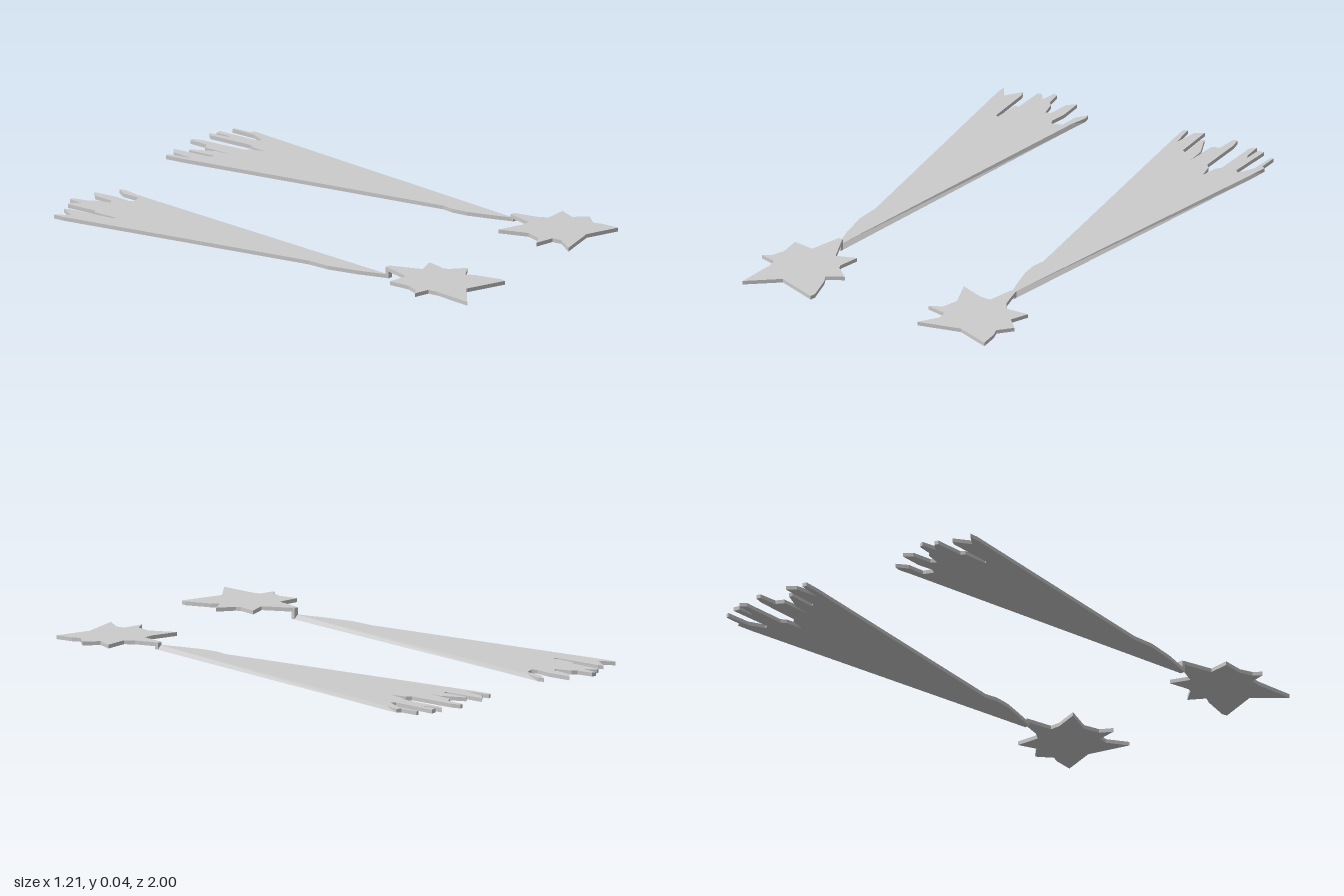
import * as THREE from 'three';

const material = new THREE.MeshStandardMaterial({ color: 0xcccccc, flatShading: true });
const THICK = 0.015;
const NECK_Z = 0.53;

// Outlines as x, z pairs, running from the neck's -x corner to its +x corner.
const leftTail = [
  .368, .53, .342, .44, .32, .355, .315, .29, .326, .238, .32, .196, .178, -.885, .172, -.96,
  .188, -.965, .204, -.864, .22, -.96, .252, -.986, .262, -.82, .278, -.81, .273, -.927, .284, -.933,
  .326, -.843, .331, -.768, .337, -.9, .368, -.917, .374, -.996, .39, -1, .4, -.96, .405, -.768,
  .421, -.753, .437, -.689, .448, -.758, .464, -.779, .464, -.97, .485, -.99, .49, -.917, .5, -.9,
  .501, -.97, .527, -.975, .522, -.79, .538, -.779, .57, -.843, .575, -.949, .586, -.949, .587, -.874,
  .602, -.864, .594, -.795, .39, .53,
];
const leftStar = [
  .368, .53, .342, .63, .3, .63, .199, .594, .241, .705, .22, .768, .172, .795, .252, .81,
  .257, .848, .204, .922, .374, .88, .511, .927, .506, .853, .495, .82, .543, .768, .495, .72,
  .527, .652, .432, .657, .41, .62, .39, .53,
];
const rightTail = [
  -.416, .53, -.448, .413, -.469, .29, -.464, .196, -.607, -.864, -.607, -.906, -.57, -.853,
  -.527, -.917, -.517, -.896, -.506, -.7, -.495, -.694, -.49, -.8, -.474, -.81, -.474, -.938,
  -.458, -.943, -.432, -.906, -.421, -.97, -.405, -.964, -.395, -.9, -.379, -.885, -.363, -.82,
  -.342, -.832, -.331, -.917, -.3, -.943, -.294, -.848, -.305, -.779, -.294, -.758, -.252, -.774,
  -.246, -.848, -.215, -.89, -.209, -.864, -.22, -.795, -.395, .53,
];
const rightStar = [
  -.416, .53, -.453, .647, -.538, .636, -.533, .72, -.554, .768, -.586, .79, -.522, .805, -.517, .843,
  -.536, 1, -.416, .906, -.252, .964, -.246, .943, -.273, .837, -.289, .805, -.225, .768, -.283, .72,
  -.289, .7, -.268, .62, -.347, .647, -.395, .53,
];

// Flat plate cut to an outline; the rule may then move each vertex.
function plate(name, outline, rule) {
  const points = [];
  for (let i = 0; i < outline.length; i += 2) points.push(new THREE.Vector2(outline[i], -outline[i + 1]));
  const geo = new THREE.ExtrudeGeometry(new THREE.Shape(points), { depth: THICK, bevelEnabled: false });
  geo.rotateX(-Math.PI / 2);
  const pos = geo.attributes.position;
  const v = new THREE.Vector3();
  for (let i = 0; i < pos.count; i++) {
    rule(v.fromBufferAttribute(pos, i));
    pos.setXYZ(i, v.x, v.y, v.z);
  }
  geo.computeVertexNormals();
  const mesh = new THREE.Mesh(geo, material);
  mesh.name = name;
  return mesh;
}

function comet(name, tailOutline, starOutline, tailY) {
  const group = new THREE.Group();
  group.name = name;
  const neckLeft = tailOutline[0];
  const [edgeX, edgeZ, neckRight] = tailOutline.slice(-4);

  // Tail with its +x long edge chamfered, widest at the neck
  group.add(plate('tail', tailOutline, (v) => {
    if (v.y > THICK / 2) {
      if (Math.abs(v.x - neckRight) < 1e-4 && Math.abs(v.z - NECK_Z) < 1e-4) v.x -= 0.018;
      if (Math.abs(v.x - edgeX) < 1e-4 && Math.abs(v.z - edgeZ) < 1e-4) v.x -= 0.008;
    }
    v.y += tailY;
  }));

  // Star sloping gently down towards its far tip
  group.add(plate('star', starOutline, (v) => {
    v.y += 0.029 - (v.z - NECK_Z) * 0.027;
  }));

  // Short step joining the tail to the raised star
  const top = 0.043;
  const step = new THREE.Mesh(new THREE.BoxGeometry(neckRight - neckLeft, top - tailY, 0.014), material);
  step.position.set((neckLeft + neckRight) / 2, (top + tailY) / 2, NECK_Z);
  step.name = 'neck';
  group.add(step);
  return group;
}

export function createModel() {
  const model = new THREE.Group();
  model.name = 'shootingStars';
  model.add(comet('leftComet', leftTail, leftStar, 0.017));
  model.add(comet('rightComet', rightTail, rightStar, 0));
  return model;
}
